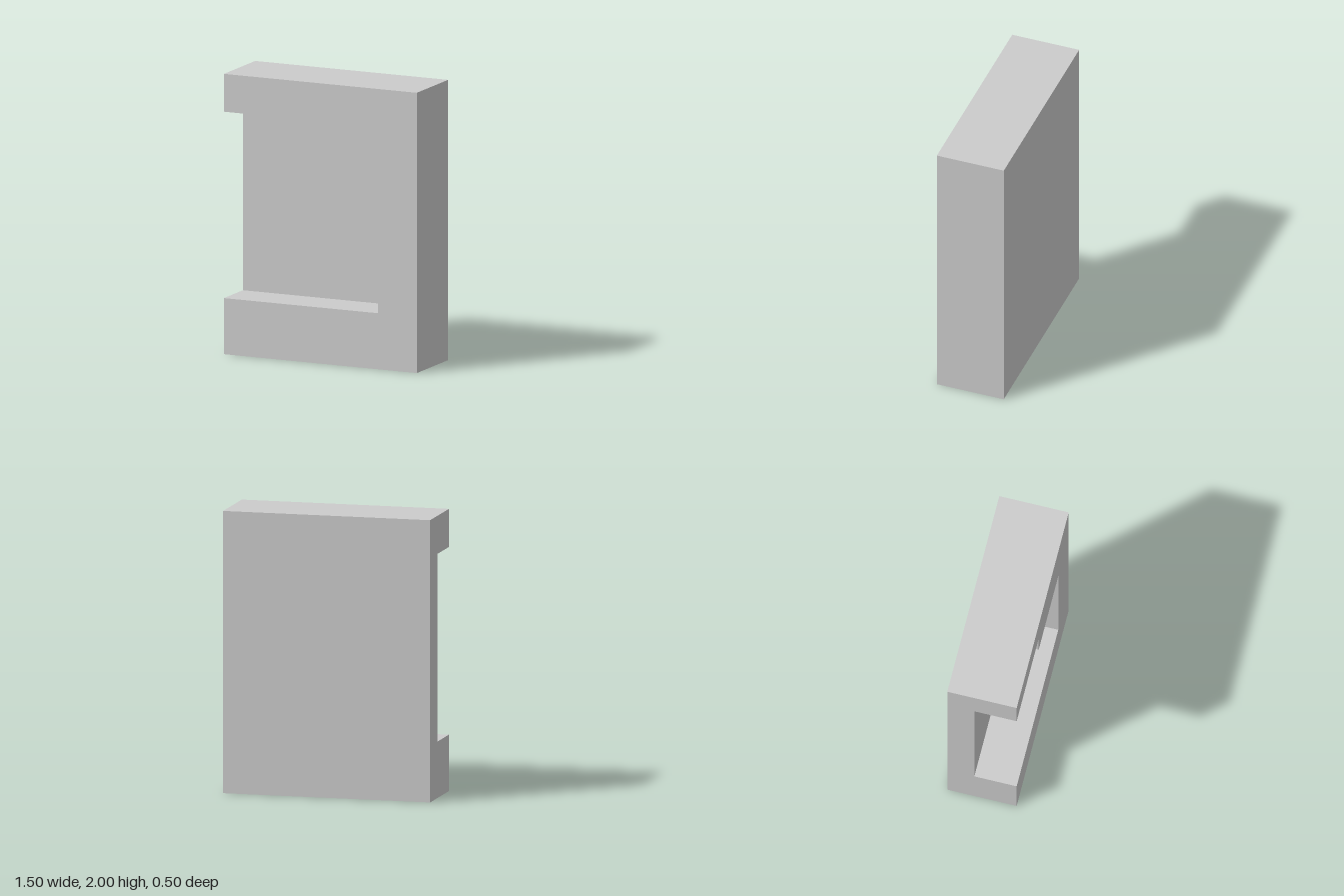
import * as THREE from 'three';

const WIDTH = 1.5, HEIGHT = 2, DEPTH = 0.5;
const BACK = 0.195; // thickness of the back plate

export function createModel() {
  const model = new THREE.Group();
  model.name = 'steppedRecessBlock';
  const material = new THREE.MeshStandardMaterial({ color: 0xcccccc, flatShading: true });

  // Solid plate that forms the back and the floor of the recess
  const backPlate = new THREE.Mesh(new THREE.BoxGeometry(WIDTH, HEIGHT, BACK), material);
  backPlate.name = 'backPlate';
  backPlate.position.set(0, HEIGHT / 2, (BACK - DEPTH) / 2);
  model.add(backPlate);

  // C-shaped frame, open towards -x, with a stepped upper arm
  const outline = [
    [-0.75, 0], [0.75, 0], [0.75, 2], [-0.75, 2],
    [-0.75, 1.73], [-0.115, 1.73], [-0.115, 1.5],
    [0.45, 1.5], [0.45, 0.4], [-0.75, 0.4],
  ];
  const shape = new THREE.Shape(outline.map(([x, y]) => new THREE.Vector2(x, y)));
  const frame = new THREE.Mesh(
    new THREE.ExtrudeGeometry(shape, { depth: DEPTH - BACK, bevelEnabled: false }),
    material
  );
  frame.name = 'steppedFrame';
  frame.position.z = BACK - DEPTH / 2;
  model.add(frame);

  return model;
}
